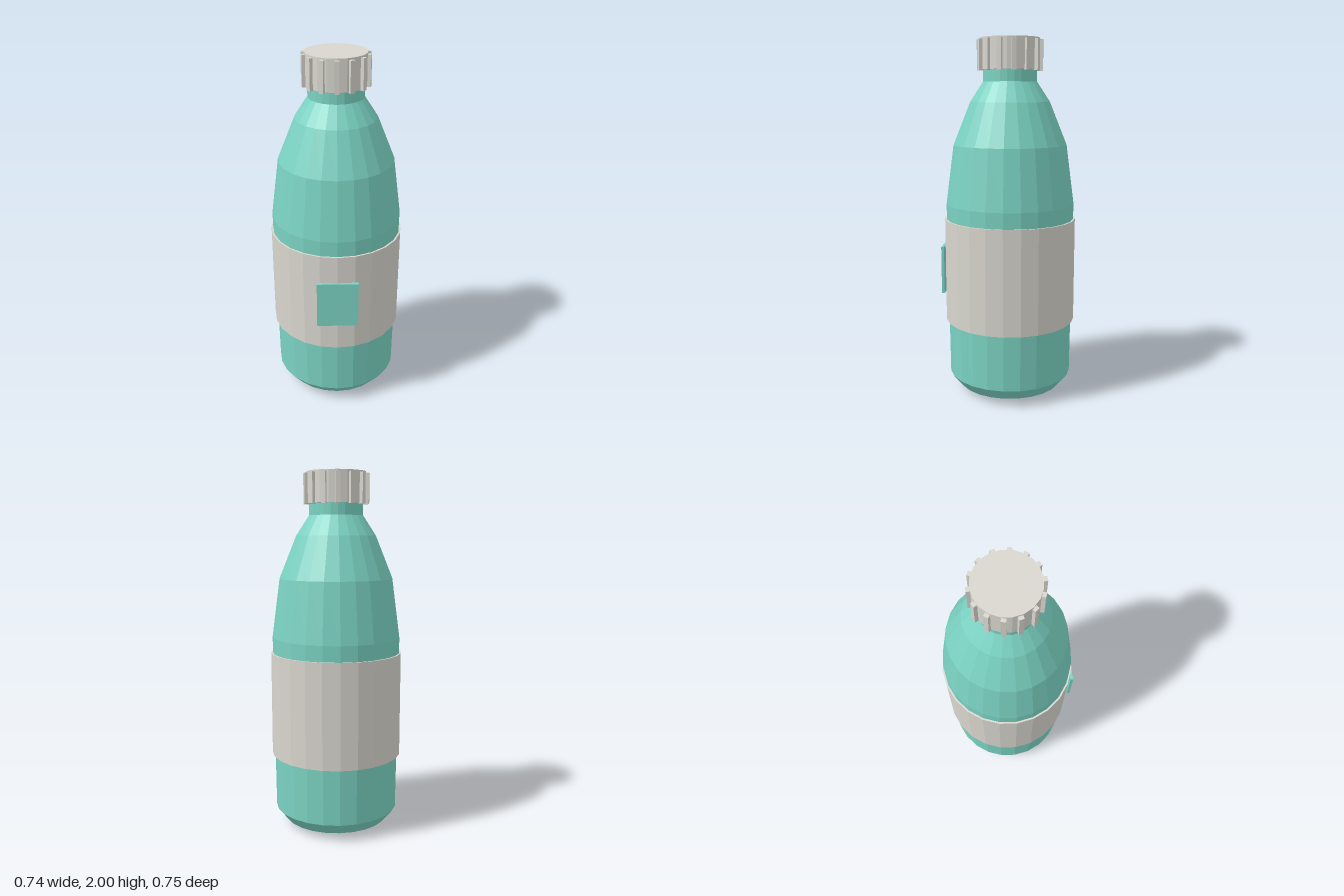
import * as THREE from 'three';

const teal = new THREE.MeshStandardMaterial({ color: 0x7bd3c3 });
teal.name = 'teal';
const offWhite = new THREE.MeshStandardMaterial({ color: 0xd8d6ce });
offWhite.name = 'offWhite';

// Faceted mesh: split the faces so each has its own normal
function part(name, geometry, material) {
  const flat = geometry.index ? geometry.toNonIndexed() : geometry;
  flat.computeVertexNormals();
  const mesh = new THREE.Mesh(flat, material);
  mesh.name = name;
  return mesh;
}

// Turned shape from [radius, height] pairs, listed bottom to top on the outside
function turned(profile, sides) {
  return new THREE.LatheGeometry(profile.map(([r, y]) => new THREE.Vector2(r, y)), sides);
}

export function createModel() {
  const model = new THREE.Group();
  model.name = 'bottle';

  const vessel = new THREE.Group();
  vessel.name = 'vessel';
  vessel.position.z = -0.005;
  model.add(vessel);

  // Body with a slightly pointed base, tapered shoulder and short neck
  vessel.add(part('body', turned([
    [0, 0], [0.295, 0.03], [0.35, 0.098], [0.361, 1.09], [0.317, 1.42],
    [0.222, 1.655], [0.15, 1.765], [0.15, 1.85],
  ], 24), teal));

  // Wrap-around label with thin rims
  vessel.add(part('label', turned([
    [0.345, 0.415], [0.37, 0.415], [0.37, 1.003], [0.345, 1.003],
  ], 24), offWhite));

  // Screw cap with grip ribs
  const cap = new THREE.Group();
  cap.name = 'cap';
  const capBody = part('capBody', new THREE.CylinderGeometry(0.165, 0.165, 0.17, 20), offWhite);
  capBody.position.y = 1.915;
  cap.add(capBody);
  const ribCount = 14;
  for (let i = 0; i < ribCount; i++) {
    const angle = (i / ribCount) * Math.PI * 2;
    const rib = part('capRib', new THREE.BoxGeometry(0.025, 0.165, 0.026), offWhite);
    rib.position.set(Math.sin(angle) * 0.169, 1.908, Math.cos(angle) * 0.169);
    rib.rotation.y = angle;
    cap.add(rib);
  }
  vessel.add(cap);

  // Square patch on the front of the label
  const patch = part('labelPatch', new THREE.BoxGeometry(0.226, 0.27, 0.016), teal);
  patch.position.set(0, 0.71, 0.367);
  model.add(patch);

  return model;
}
